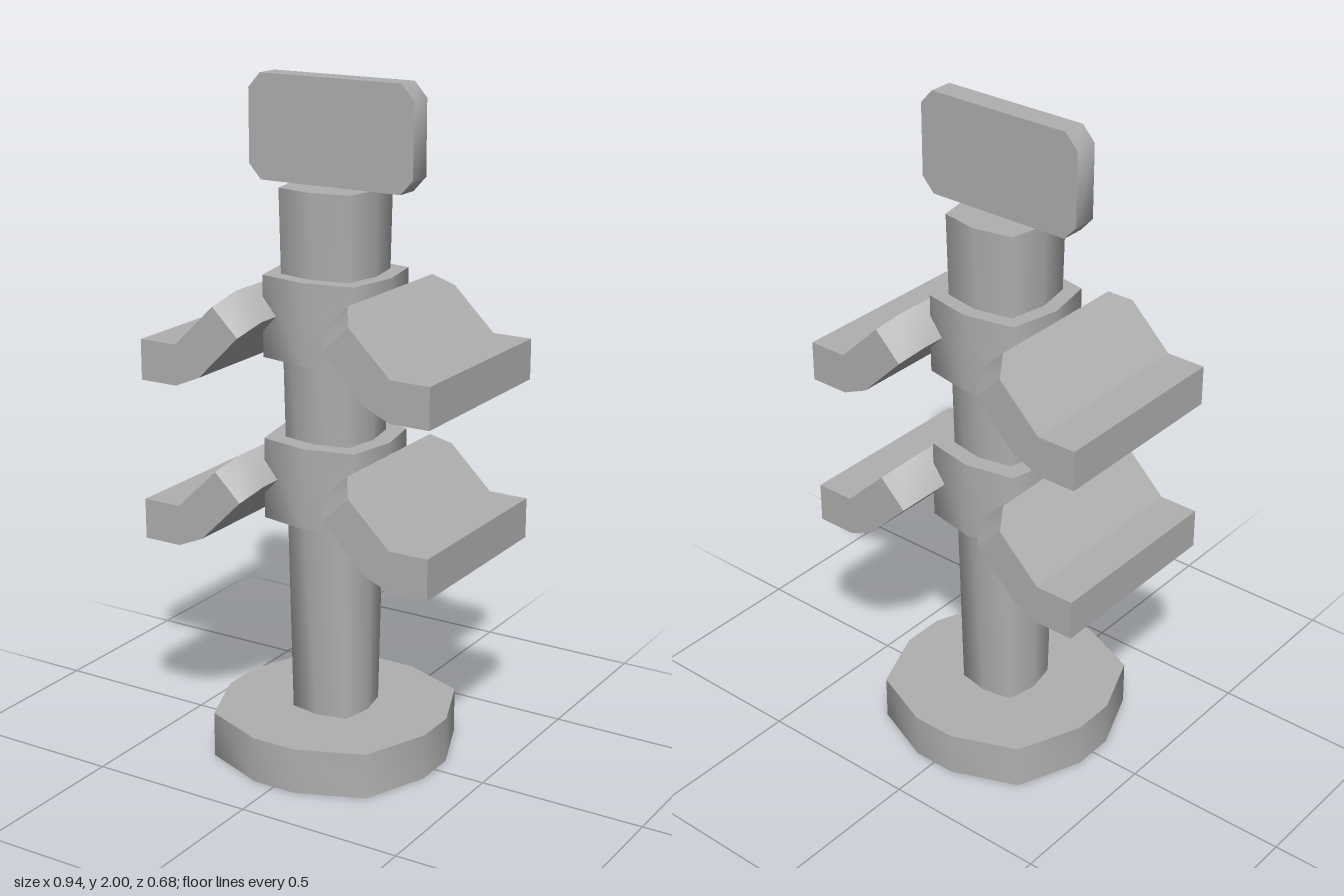
import * as THREE from 'three';
import { toCreasedNormals } from 'three/addons/utils/BufferGeometryUtils.js';

const rad = THREE.MathUtils.degToRad;

export function createModel() {
  const group = new THREE.Group();
  const grey = new THREE.MeshStandardMaterial({ color: 0xb0b0b0 });
  grey.name = 'plain grey';

  const add = (name, geometry) => {
    const mesh = new THREE.Mesh(geometry, grey);
    mesh.name = name;
    group.add(mesh);
    return mesh;
  };

  const extrude = (points, depth, steps = 1) => new THREE.ExtrudeGeometry(
    new THREE.Shape(points.map(([x, y]) => new THREE.Vector2(x, y))),
    { depth, steps, bevelEnabled: false });

  // Upright prism with a bulging square plan: one quarter of the outline,
  // repeated four times, optionally widening towards the top
  const prism = (name, quarter, y0, y1, topScale = 1) => {
    const outline = [];
    for (let k = 0; k < 4; k++) {
      const c = Math.round(Math.cos(k * Math.PI / 2));
      const s = Math.round(Math.sin(k * Math.PI / 2));
      for (const [x, y] of quarter) outline.push([x * c - y * s, x * s + y * c]);
    }
    const geometry = extrude(outline, y1 - y0);
    geometry.rotateX(-Math.PI / 2);
    const p = geometry.attributes.position;
    for (let i = 0; i < p.count; i++) {
      const f = p.getY(i) > 0.001 ? topScale : 1;
      p.setXYZ(i, p.getX(i) * f, p.getY(i) + y0, p.getZ(i) * f);
    }
    return add(name, toCreasedNormals(geometry, rad(75)));
  };

  // Foot, tapered post and the two collars
  prism('base', [[0.341, -0.067], [0.341, 0.067], [0.262, 0.262]], 0, 0.137);
  prism('post', [[0.11, 0], [0.092, 0.092]], 0.137, 1.7, 1.255);
  prism('lowerCollar', [[0.179, 0], [0.149, 0.149]], 0.74, 0.98);
  prism('upperCollar', [[0.179, 0], [0.149, 0.149]], 1.22, 1.457);

  // Bent arm: side profile swept along z, upper corners cut off at both ends
  const arm = extrude([
    [0.47, 0.66], [0.47, 0.78], [0.35, 0.78], [0.18, 0.945],
    [0.098, 0.865], [0.27, 0.695], [0.35, 0.66],
  ], 0.588, 3);
  arm.translate(0, 0, -0.294);
  const p = arm.attributes.position;
  for (let i = 0; i < p.count; i++) {
    const z = p.getZ(i);
    if (Math.abs(z) < 0.2) {
      p.setZ(i, Math.sign(z) * 0.232);
    } else if (p.getX(i) < 0.2) {
      p.setX(i, p.getX(i) + 0.04);
      p.setY(i, p.getY(i) - 0.039);
    }
  }
  const armGeometry = toCreasedNormals(arm, rad(43.5));
  for (const [level, y] of [['lower', 0], ['upper', 0.48]]) {
    for (const [side, turn] of [['Left', 0], ['Right', Math.PI]]) {
      const mesh = add(level + side + 'Arm', armGeometry);
      mesh.position.y = y;
      mesh.rotation.y = turn;
    }
  }

  // Flat plate with cut corners on top
  const plate = extrude([
    [-0.227, 1.7], [0.227, 1.7], [0.266, 1.743], [0.266, 1.957],
    [0.227, 2], [-0.227, 2], [-0.266, 1.957], [-0.266, 1.743],
  ], 0.072);
  plate.translate(0, 0, -0.036);
  add('topPlate', toCreasedNormals(plate, rad(45)));

  return group;
}
